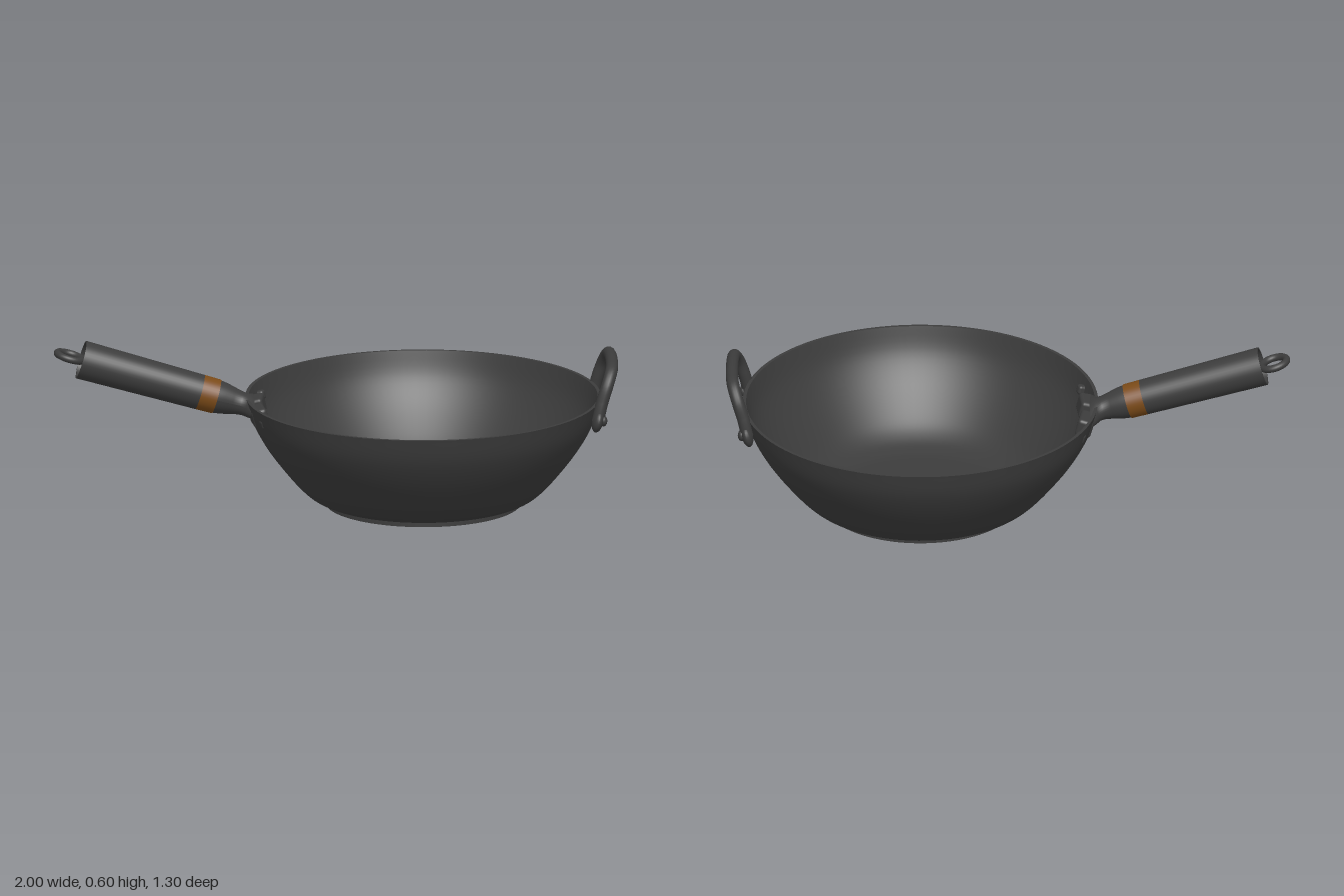
import * as THREE from 'three';
import { RoundedBoxGeometry } from 'three/addons/geometries/RoundedBoxGeometry.js';

export function createModel() {
  const model = new THREE.Group();
  model.name = 'wok';
  const iron = new THREE.MeshStandardMaterial({ name: 'dark iron', color: 0x3c3c3c });
  const brown = new THREE.MeshStandardMaterial({ name: 'brown band', color: 0x7a4a18 });

  const add = (parent, name, geometry, material = iron) => {
    const mesh = new THREE.Mesh(geometry, material);
    mesh.name = name;
    parent.add(mesh);
    return mesh;
  };
  const lathe = (pairs, segments = 40) =>
    new THREE.LatheGeometry(pairs.map(([r, y]) => new THREE.Vector2(r, y)), segments);
  const smooth = (pairs, n) =>
    new THREE.SplineCurve(pairs.map(([r, y]) => new THREE.Vector2(r, y))).getPoints(n).map(p => [p.x, p.y]);

  // Bowl: foot ring, outer wall, thin rim, inner wall and floor
  const outer = smooth([[0.36, 0.016], [0.395, 0.026], [0.435, 0.05], [0.49, 0.105],
    [0.57, 0.205], [0.625, 0.3], [0.652, 0.39]], 30);
  const inner = smooth([[0.64, 0.39], [0.612, 0.3], [0.557, 0.21], [0.477, 0.115],
    [0.42, 0.065], [0.36, 0.037], [0.28, 0.026], [0, 0.024]], 34);
  const bowl = add(model, 'bowl', lathe([[0, 0.006], [0.34, 0.006], [0.34, 0.006], [0.342, 0], [0.342, 0],
    [0.36, 0], [0.36, 0], [0.36, 0.016], ...outer, [0.652, 0.39], [0.64, 0.39], ...inner], 96));
  bowl.scale.x = 0.965;
  bowl.position.x = 0.312;

  // Long handle: local y runs outward along its axis
  const handle = new THREE.Group();
  handle.name = 'longHandle';
  handle.position.set(-0.28, 0.353, 0);
  handle.rotation.z = 1.286;
  model.add(handle);

  // Neck: round at the grip, pinched, then flared sideways against the bowl
  const sections = [[0.018, 0.036, 0.112], [0.026, 0.038, 0.095], [0.04, 0.039, 0.058],
    [0.06, 0.042, 0.044], [0.09, 0.049, 0.048], [0.12, 0.056, 0.056], [0.15, 0.06, 0.06]];
  const neck = lathe(sections.map(([s, r]) => [r, s]));
  const pos = neck.attributes.position;
  for (let i = 0; i < pos.count; i++) {
    const [, high, wide] = sections[i % sections.length];
    pos.setZ(i, pos.getZ(i) * wide / high);
  }
  neck.computeVertexNormals();
  add(handle, 'neck', neck);

  add(handle, 'band', lathe([[0.05, 0.147], [0.062, 0.147], [0.062, 0.147],
    [0.063, 0.21], [0.063, 0.21], [0.05, 0.21]]), brown);

  // Hollow grip, open at the far end
  add(handle, 'grip', lathe([[0.05, 0.208], [0.063, 0.208], [0.063, 0.208], [0.069, 0.646], [0.069, 0.646],
    [0.062, 0.646], [0.062, 0.646], [0.06, 0.56], [0.06, 0.56], [0, 0.56]]));

  // Hanging loop
  const ring = add(handle, 'hangingLoop', new THREE.TorusGeometry(0.046, 0.013, 12, 36));
  ring.rotation.y = Math.PI / 2;
  ring.position.y = 0.688;
  const stem = add(handle, 'loopStem', new THREE.CylinderGeometry(0.013, 0.013, 0.09, 12));
  stem.position.y = 0.6;

  // Side handle: tilted arch
  const half = [[0.922, 0.335, 0.19], [0.937, 0.4, 0.184], [0.957, 0.462, 0.172],
    [0.972, 0.502, 0.135], [0.978, 0.512, 0.07]];
  const path = [...half, ...half.map(([x, y, z]) => [x, y, -z]).reverse()];
  const arch = new THREE.CatmullRomCurve3(path.map(p => new THREE.Vector3(...p)));
  add(model, 'sideHandle', new THREE.TubeGeometry(arch, 60, 0.022, 14));

  for (const side of [-1, 1]) {
    // Flattened side handle feet with domed rivets
    const foot = add(model, 'sideHandleFoot', new THREE.SphereGeometry(0.036, 20, 14));
    foot.scale.set(0.55, 1.1, 1);
    foot.position.set(0.922, 0.335, 0.19 * side);
    foot.rotation.z = -0.25;
    const rivet = add(model, 'sideHandleRivet', new THREE.SphereGeometry(0.02, 18, 12));
    rivet.scale.x = 0.7;
    rivet.position.set(0.942, 0.338, 0.19 * side);

    // Mounting lugs and small rivets on the inner wall
    const lug = add(model, 'innerLug', new RoundedBoxGeometry(0.056, 0.065, 0.1, 3, 0.013));
    lug.position.set(-0.274, 0.34, 0.075 * side - 0.003);
    lug.rotation.set(0, 0.12 * side, 0.25);
    const stud = add(model, 'innerRivet', new RoundedBoxGeometry(0.036, 0.034, 0.032, 3, 0.01));
    stud.position.set(-0.257, 0.345, 0.205 * side);
    stud.rotation.set(0, 0.33 * side, 0.25);
  }
  return model;
}
